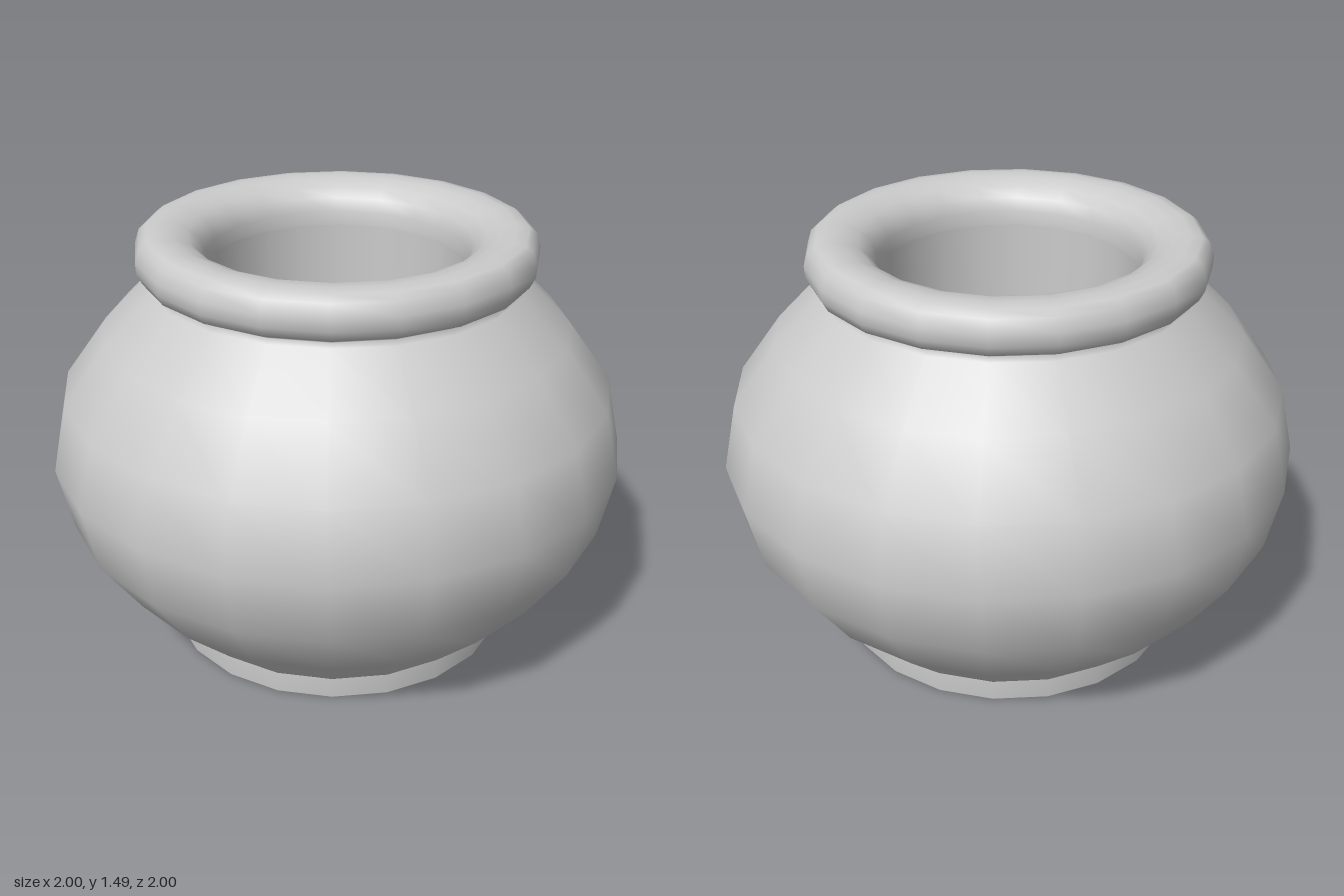
import * as THREE from 'three';

const SIDES = 20;

export function createModel() {
  const group = new THREE.Group();
  const material = new THREE.MeshStandardMaterial({ color: 0xcccccc });

  // Turn one smooth section of the pot; separate sections keep their joins sharp
  const turn = (name, profile) => {
    const points = profile.map(([r, y]) => new THREE.Vector2(r, y));
    const mesh = new THREE.Mesh(new THREE.LatheGeometry(points, SIDES), material);
    mesh.name = name;
    group.add(mesh);
  };

  // Flat underside and straight foot ring
  turn('underside', [[0, 0], [0.605, 0]]);
  turn('foot', [[0.605, 0], [0.61, 0.006], [0.61, 0.08]]);

  // Round belly
  turn('belly', [
    [0.61, 0.08], [0.807, 0.27], [0.95, 0.477], [1, 0.705],
    [0.95, 0.937], [0.8, 1.144], [0.635, 1.31],
  ]);

  // Narrow neck under the rim
  turn('neck', [[0.635, 1.31], [0.622, 1.325], [0.63, 1.332]]);

  // Rolled rim, from its underside over the top and into the mouth
  turn('rim', [
    [0.63, 1.332], [0.66, 1.345], [0.678, 1.38], [0.68, 1.42], [0.665, 1.465],
    [0.64, 1.485], [0.6, 1.492], [0.55, 1.487], [0.5, 1.467], [0.465, 1.435],
    [0.447, 1.39], [0.445, 1.34],
  ]);

  // Straight inner wall and floor
  turn('innerWall', [[0.445, 1.34], [0.445, 0.1]]);
  turn('innerFloor', [[0.445, 0.1], [0, 0.1]]);

  return group;
}
